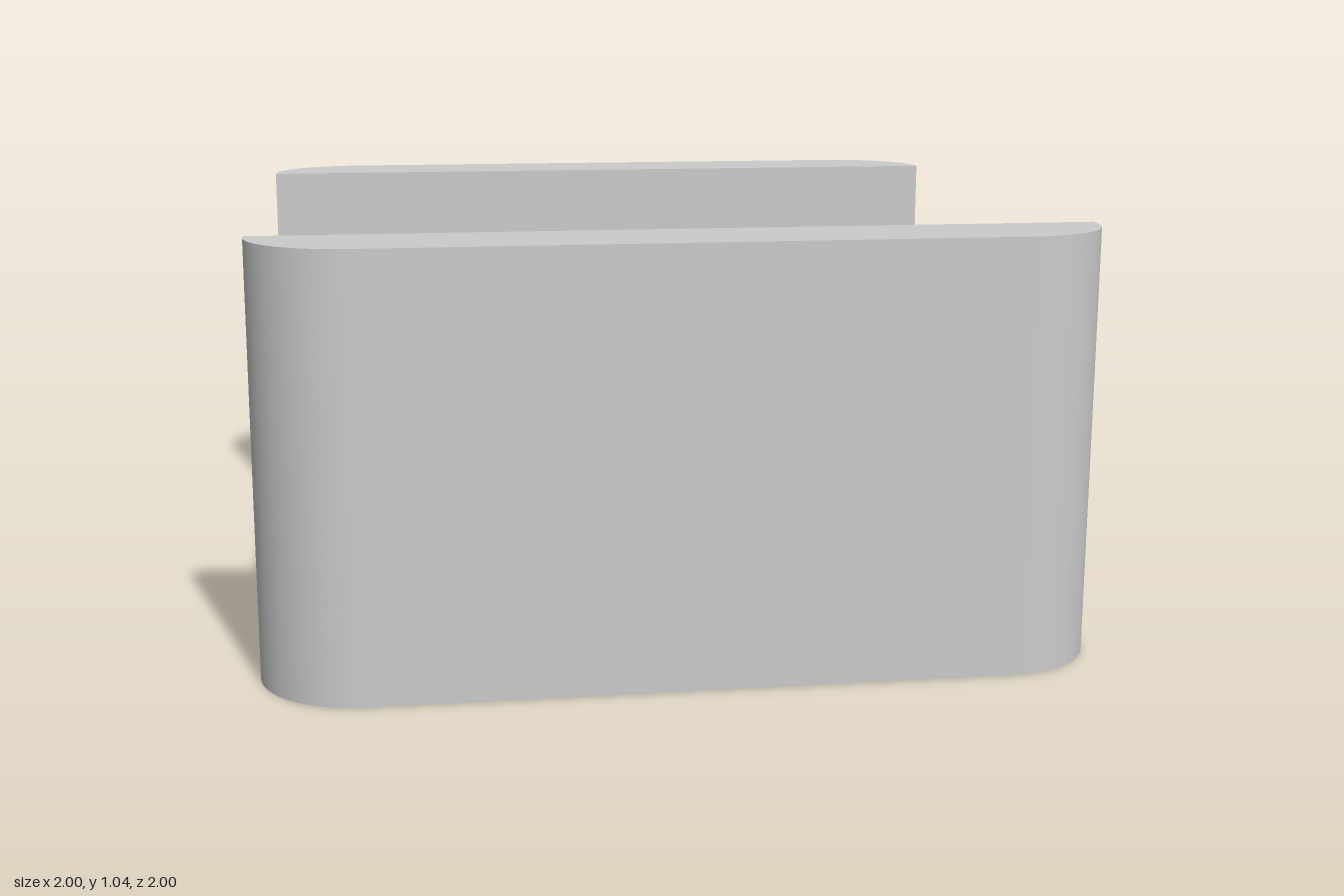
import * as THREE from 'three';
import { toCreasedNormals } from 'three/addons/utils/BufferGeometryUtils.js';

const RADIUS = 0.24, SLOT = 0.75, BASE = 0.235, PAD_TOP = 0.28, HEIGHT = 1.04;

// Upright block whose footprint spans x -1..1, with rounded corners at its far edge(s)
function block(y0, y1, roundBoth) {
  const s = new THREE.Shape(), c = 1 - RADIUS;
  if (roundBoth) {
    s.absarc(-c, -c, RADIUS, Math.PI, Math.PI * 1.5);
    s.absarc(c, -c, RADIUS, Math.PI * 1.5, Math.PI * 2);
  } else {
    s.moveTo(-1, SLOT);
    s.lineTo(1, SLOT);
  }
  s.absarc(c, c, RADIUS, 0, Math.PI / 2);
  s.absarc(-c, c, RADIUS, Math.PI / 2, Math.PI);
  s.closePath();
  const g = new THREE.ExtrudeGeometry(s, { depth: y1 - y0, bevelEnabled: false, curveSegments: 16 });
  g.rotateX(-Math.PI / 2).translate(0, y0, 0);
  return toCreasedNormals(g, 0.5);
}

export function createModel() {
  const model = new THREE.Group();
  const grey = new THREE.MeshStandardMaterial({ color: 0xcccccc });
  const blue = new THREE.MeshStandardMaterial({ color: 0x0c79cc });
  const add = (name, geometry, material) => {
    const mesh = new THREE.Mesh(geometry, material);
    mesh.name = name;
    model.add(mesh);
    return mesh;
  };

  // Solid base with four rounded corners
  add('base', block(0, BASE, true), grey);

  // Matching walls at the back and front
  const wall = block(BASE, HEIGHT, false);
  add('backWall', wall, grey);
  add('frontWall', wall, grey).rotation.y = Math.PI;

  // Coloured pad lining the channel floor
  const pad = new THREE.BoxGeometry(2, PAD_TOP - BASE, SLOT * 2);
  add('channelPad', pad, blue).position.y = (BASE + PAD_TOP) / 2;

  return model;
}
